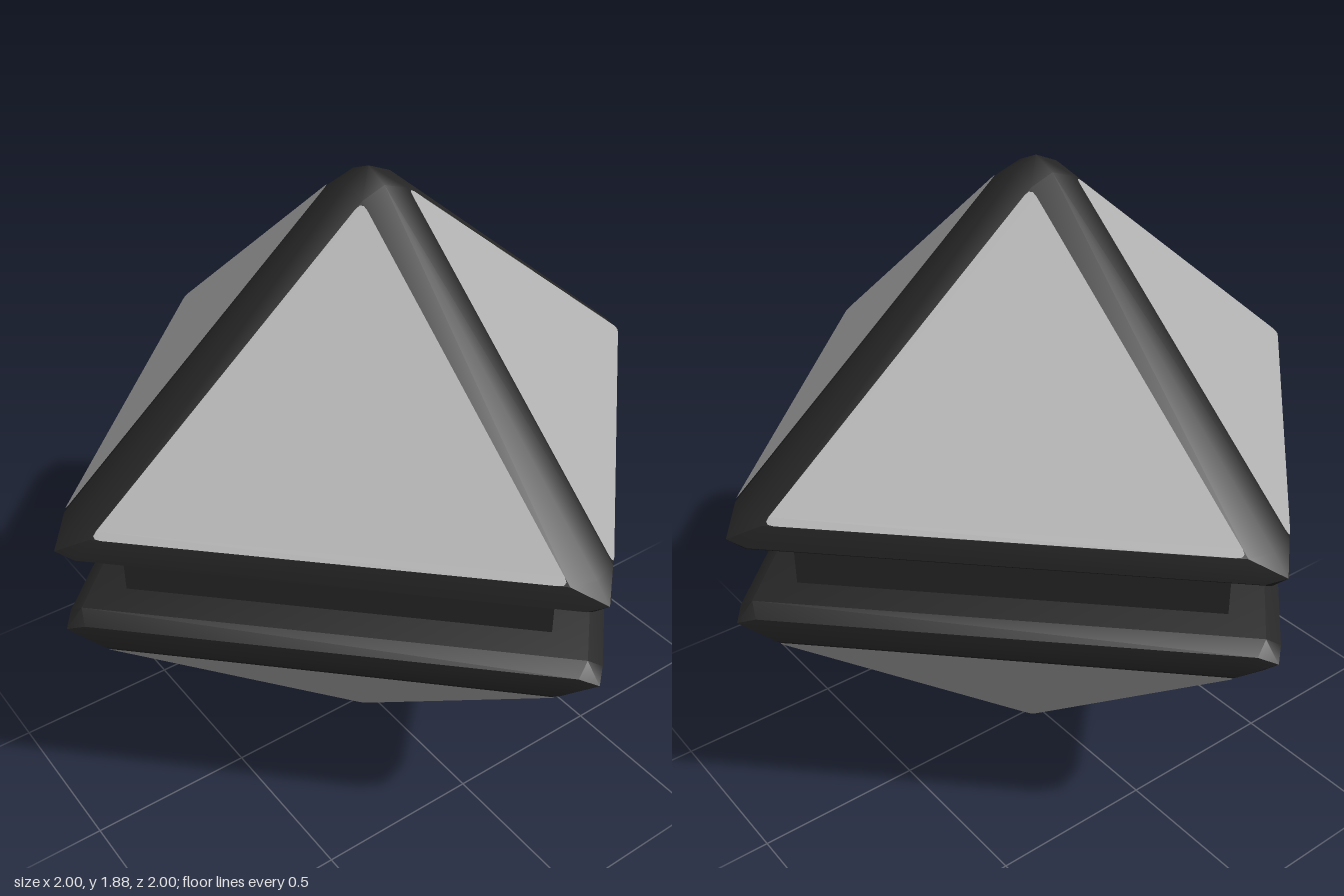
import * as THREE from 'three';
import { toCreasedNormals } from 'three/addons/utils/BufferGeometryUtils.js';
import { ConvexGeometry } from 'three/addons/geometries/ConvexGeometry.js';

const MID = 0.9375; // height of the mirror plane between the two halves
const SIGNS = [1, -1];

// Key points of one quadrant of a half, y measured from the mirror plane
const PANEL = [[0.072, 0.8825, 0.072], [0.072, 0.1825, 0.93], [0.93, 0.1825, 0.072]];
const FRAME = [
  ...PANEL,
  [0, 0.9375, 0], [0.07, 0.9075, 0], [0, 0.9075, 0.07],     // apex cap
  [0.95, 0.1825, 0], [0, 0.1825, 0.95],                     // ridge ends
  [1, 0.1325, 0], [0, 0.1325, 1],                           // corner tips
  [0.965, 0.1125, 0.042], [0.042, 0.1125, 0.965],           // rim edge
  [0.95, 0.0825, 0], [0, 0.0825, 0.95],                     // flat base
];

const place = ([x, y, z], sx, s, sz) => new THREE.Vector3(x * sx, MID + y * s, z * sz);

// Bevelled pyramid hull
function frameGeometry(s) {
  const unique = new Map();
  for (const sx of SIGNS) for (const sz of SIGNS) for (const p of FRAME) {
    const v = place(p, sx, s, sz);
    unique.set(v.toArray().map((n) => (n + 0).toFixed(4).replace('-0.0000', '0.0000')).join(), v);
  }
  return toCreasedNormals(new ConvexGeometry([...unique.values()]), 0.7);
}

// Triangular face plate with slightly rounded corners
function panelGeometry(sx, s, sz) {
  const tri = PANEL.map((p) => place(p, sx, s, sz));
  if (sx * s * sz < 0) tri.reverse();
  const normal = new THREE.Triangle(...tri).getNormal(new THREE.Vector3());
  const outline = [];
  tri.forEach((v, i) => {
    const a = v.clone().lerp(tri[(i + 2) % 3], 0.025);
    const b = v.clone().lerp(tri[(i + 1) % 3], 0.025);
    outline.push(...new THREE.QuadraticBezierCurve3(a, v, b).getPoints(3));
  });
  outline.forEach((v) => v.addScaledVector(normal, 0.003));
  const index = [];
  for (let i = 1; i < outline.length - 1; i++) index.push(0, i, i + 1);
  const g = new THREE.BufferGeometry().setFromPoints(outline);
  g.setIndex(index);
  g.computeVertexNormals();
  return g;
}

export function createModel() {
  const dark = new THREE.MeshStandardMaterial({ color: 0x262626 });
  dark.name = 'dark frame';
  const grey = new THREE.MeshStandardMaterial({ color: 0xb2b2b2 });
  grey.name = 'light grey panel';

  const model = new THREE.Group();
  model.name = 'splitOctahedron';
  const add = (parent, geometry, material, name) => {
    const mesh = new THREE.Mesh(geometry, material);
    mesh.name = name;
    parent.add(mesh);
    return mesh;
  };

  // Upper and lower pyramids with their face plates
  for (const s of SIGNS) {
    const half = new THREE.Group();
    half.name = s > 0 ? 'upperPyramid' : 'lowerPyramid';
    add(half, frameGeometry(s), dark, 'frame');
    for (const sx of SIGNS) for (const sz of SIGNS) {
      const name = (sz > 0 ? 'front' : 'back') + (sx > 0 ? 'Left' : 'Right') + 'Panel';
      add(half, panelGeometry(sx, s, sz), grey, name);
    }
    model.add(half);
  }

  // Square core joining the halves
  const core = new THREE.CylinderGeometry(0.815, 0.815, 0.18, 4).toNonIndexed();
  core.computeVertexNormals();
  add(model, core, dark, 'core').position.y = MID;

  return model;
}
